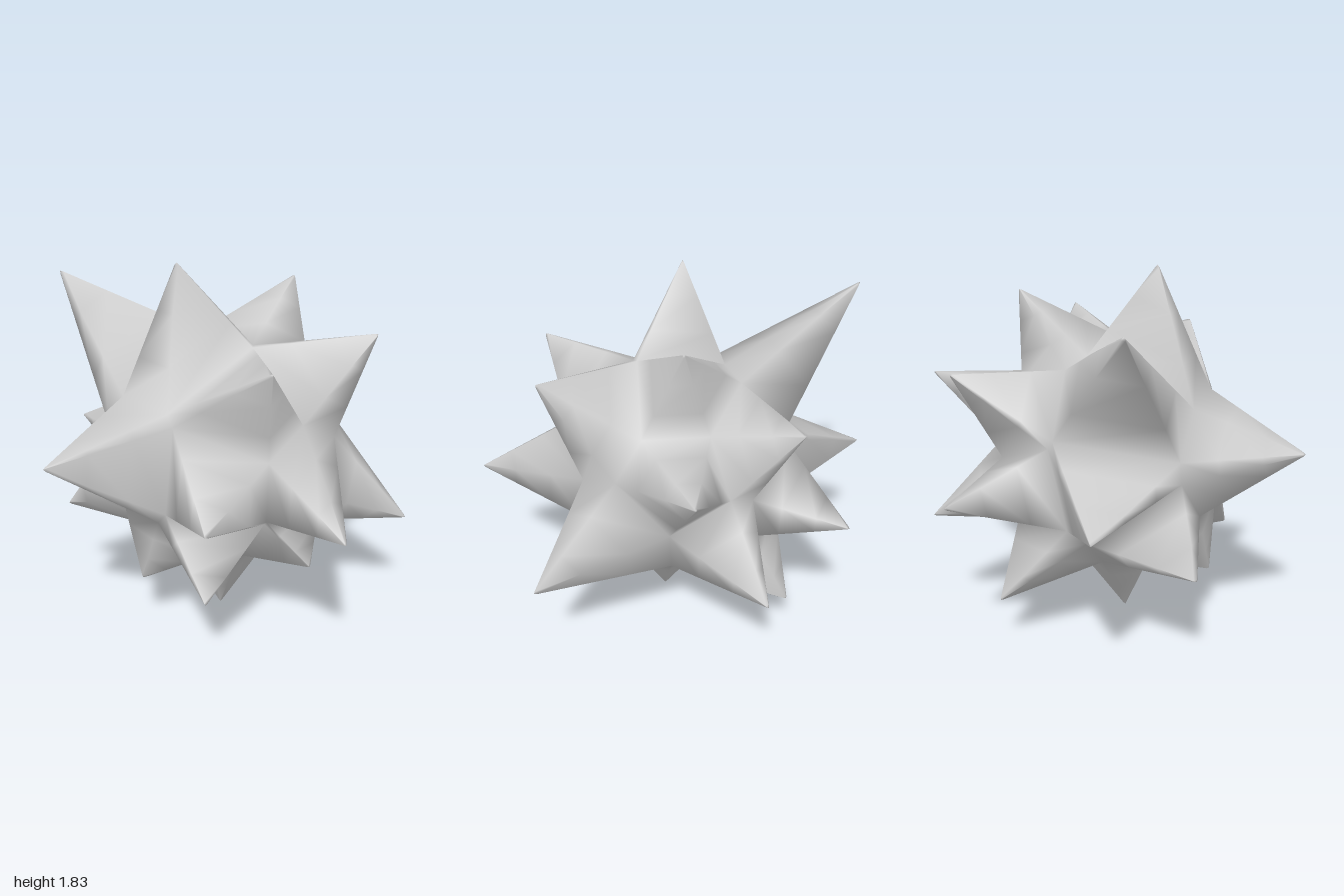
import * as THREE from 'three';
import { mergeVertices } from 'three/addons/utils/BufferGeometryUtils.js';
import { ConvexGeometry } from 'three/addons/geometries/ConvexGeometry.js';

const CENTER = new THREE.Vector3(0, 0.9, 0);
const VALLEY_RADIUS = 0.575;

// Spikes: tip, then for slanted ones the direction of the root [azimuth, elevation] in degrees
const SPIKES = [
  { tip: [-0.05, 1.84, 0.23], root: [-8, 69] },
  { tip: [-0.95, 1.67, 0.33] },
  { tip: [0.63, 1.47, 0.24] },
  { tip: [0.63, 1.53, -0.42] },
  { tip: [-0.01, 1.69, -0.49] },
  { tip: [-0.53, 1.36, -0.63], root: [220, 25] },
  { tip: [-0.09, 0.99, 0.97], root: [-2, -2] },
  { tip: [-0.03, 1.24, -0.98] },
  { tip: [0.62, 0.81, 0.6], root: [48, -5] },
  { tip: [1, 0.77, 0.13], root: [98, -4] },
  { tip: [-1, 0.81, 0.21] },
  { tip: [-0.79, 0.8, -0.56], root: [235, -13] },
  { tip: [0.7, 0.54, -0.64], root: [144, -19] },
  { tip: [-0.38, 0.58, -0.84] },
  { tip: [-0.59, 0.51, 0.57], root: [-50, -39] },
  { tip: [0, 0.3, 0.51] },
  { tip: [0.49, 0.37, 0.5] },
  { tip: [0.58, 0.4, -0.08] },
  { tip: [-0.55, 0.25, -0.41] },
  { tip: [0.05, 0, 0.05] },
];
const TIPS = SPIKES.map(s => new THREE.Vector3(...s.tip).sub(CENTER));
const ROOTS = SPIKES.map(({ root }, i) => {
  if (!root) return TIPS[i].clone().normalize();
  const [azimuth, elevation] = root.map(THREE.MathUtils.degToRad);
  return new THREE.Vector3().setFromSphericalCoords(1, Math.PI / 2 - elevation, azimuth);
});

// Side panel of a spike, from the valley edge p-q up to a slightly blunted tip
function addPanel(out, tip, p, q) {
  const levels = [0, 0.3, 0.65, 0.97];
  const at = (v, t) => v.clone().lerp(tip, t);
  for (let k = 0; k < levels.length - 1; k++) {
    const a = at(p, levels[k]), b = at(q, levels[k]);
    const c = at(q, levels[k + 1]), d = at(p, levels[k + 1]);
    for (const v of [a, b, c, a, c, d]) out.push(v.x, v.y, v.z);
  }
  const top = tip.clone().multiplyScalar(0.995);
  for (const v of [at(p, 0.97), at(q, 0.97), top]) out.push(v.x, v.y, v.z);
}

export function createModel() {
  const group = new THREE.Group();
  group.name = 'spikedBall';

  // The hull of the root directions tells which spikes are neighbours
  const hull = new ConvexGeometry(ROOTS).getAttribute('position');
  const nearest = n => {
    const v = new THREE.Vector3().fromBufferAttribute(hull, n);
    let best = 0;
    ROOTS.forEach((d, i) => { if (d.distanceTo(v) < ROOTS[best].distanceTo(v)) best = i; });
    return best;
  };

  // Each three neighbours share a valley corner, equally far from all of them
  const corners = new Map();
  const faces = [];
  for (let n = 0; n < hull.count; n += 3) {
    const tri = [nearest(n), nearest(n + 1), nearest(n + 2)];
    const [a, b, c] = tri.map(s => ROOTS[s]);
    const corner = new THREE.Vector3().crossVectors(b.clone().sub(a), c.clone().sub(a)).setLength(VALLEY_RADIUS);
    tri.forEach((s, k) => corners.set(s + ':' + tri[(k + 1) % 3], corner));
    faces.push({ tri, corner });
  }

  // Every spike is a pyramid on the ring of its valley corners
  const out = [];
  for (const { tri, corner } of faces) {
    tri.forEach((s, k) => {
      const next = corners.get(s + ':' + tri[(k + 2) % 3]);
      addPanel(out, TIPS[s], corner, next);
    });
  }

  // One smooth skin over body and spikes
  let geometry = new THREE.BufferGeometry();
  geometry.setAttribute('position', new THREE.Float32BufferAttribute(out, 3));
  geometry = mergeVertices(geometry, 1e-4);
  geometry.computeVertexNormals();
  const mesh = new THREE.Mesh(geometry, new THREE.MeshStandardMaterial({ color: 0xcccccc }));
  mesh.name = 'spikedBody';
  mesh.position.copy(CENTER);
  group.add(mesh);
  return group;
}
